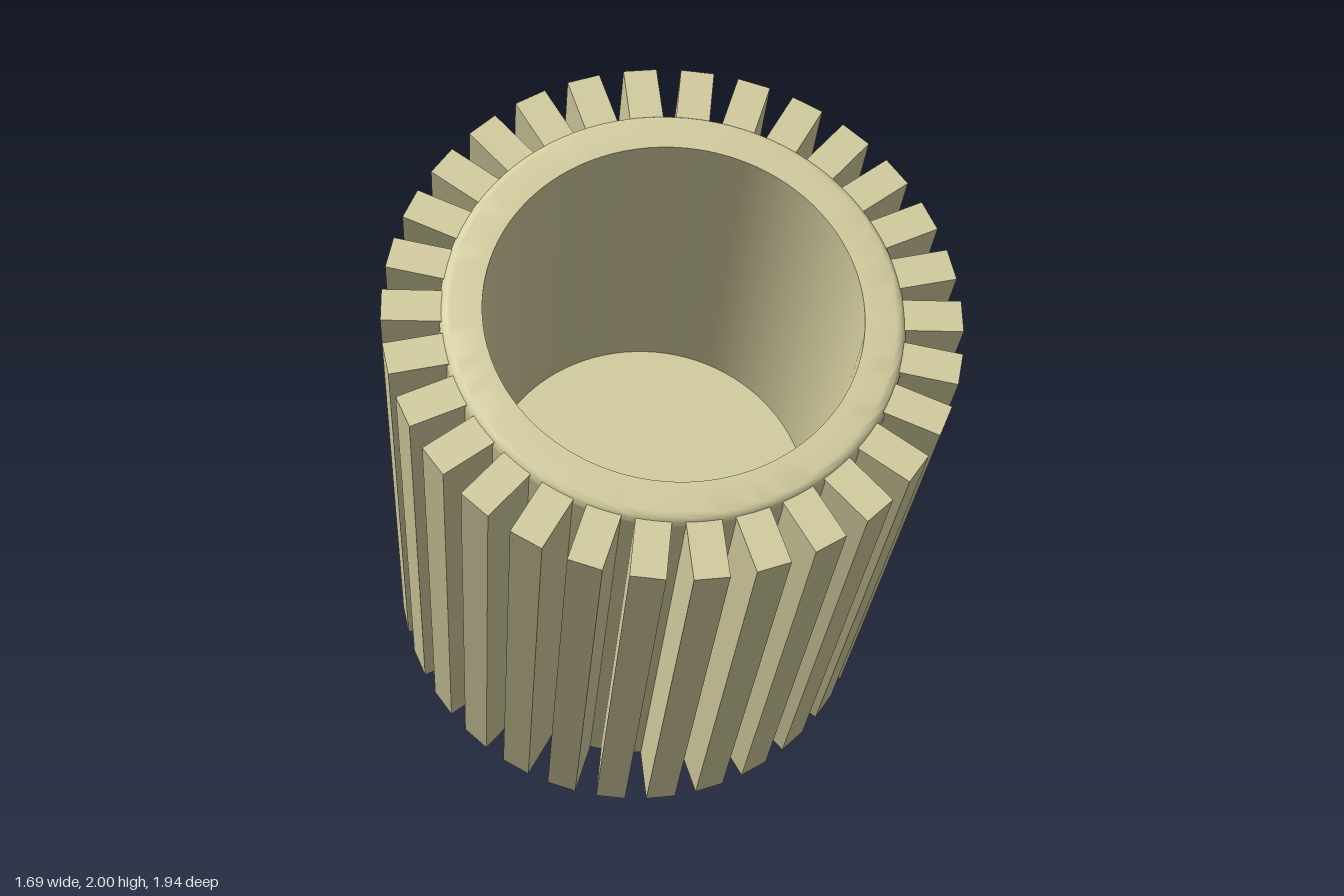
import * as THREE from 'three';
import { toCreasedNormals } from 'three/addons/utils/BufferGeometryUtils.js';

const RIBS = 30, LENGTH = 1.52, OUTER = 0.647, BODY = 0.52, BORE = 0.425;
const RIB_WIDTH = 0.078, RIB_ROOT = 0.49, HALF = 0.77, FLOOR = -0.21, FILLET = 0.025;

export function createModel() {
  const material = new THREE.MeshStandardMaterial({ color: 0xd4cd9f });
  const model = new THREE.Group();
  model.name = 'ribbedCup';

  // Cup body: closed bottom, small outer fillets, blind bore from the top
  const profile = [[0, -HALF]];
  const fillet = (cy, start) => {
    for (let i = 0; i <= 5; i++) {
      const a = start + (i / 5) * Math.PI / 2;
      profile.push([BODY - FILLET + FILLET * Math.cos(a), cy + FILLET * Math.sin(a)]);
    }
  };
  fillet(-HALF + FILLET, -Math.PI / 2);
  fillet(HALF - FILLET, 0);
  profile.push([BORE, HALF], [BORE, FLOOR], [0, FLOOR]);
  const lathe = new THREE.LatheGeometry(profile.map(([x, y]) => new THREE.Vector2(x, y)), 96);
  const body = new THREE.Mesh(toCreasedNormals(lathe, 0.6), material);
  body.name = 'cupBody';
  model.add(body);

  // Straight radial ribs around the outside
  const ribs = new THREE.Group();
  ribs.name = 'ribs';
  const ribGeometry = new THREE.BoxGeometry(OUTER - RIB_ROOT, LENGTH, RIB_WIDTH);
  ribGeometry.translate((OUTER + RIB_ROOT) / 2, 0, 0);
  for (let i = 0; i < RIBS; i++) {
    const rib = new THREE.Mesh(ribGeometry, material);
    rib.name = 'rib';
    rib.rotation.y = -(i / RIBS) * Math.PI * 2 - THREE.MathUtils.degToRad(0.8);
    ribs.add(rib);
  }
  model.add(ribs);

  // Lean the whole cup forward and to its left, resting on its lower edge
  const axis = new THREE.Vector3(0.295, 0.757, 0.583).normalize();
  model.quaternion.setFromUnitVectors(new THREE.Vector3(0, 1, 0), axis);
  model.position.y = 1;

  const root = new THREE.Group();
  root.name = 'model';
  root.add(model);
  return root;
}
